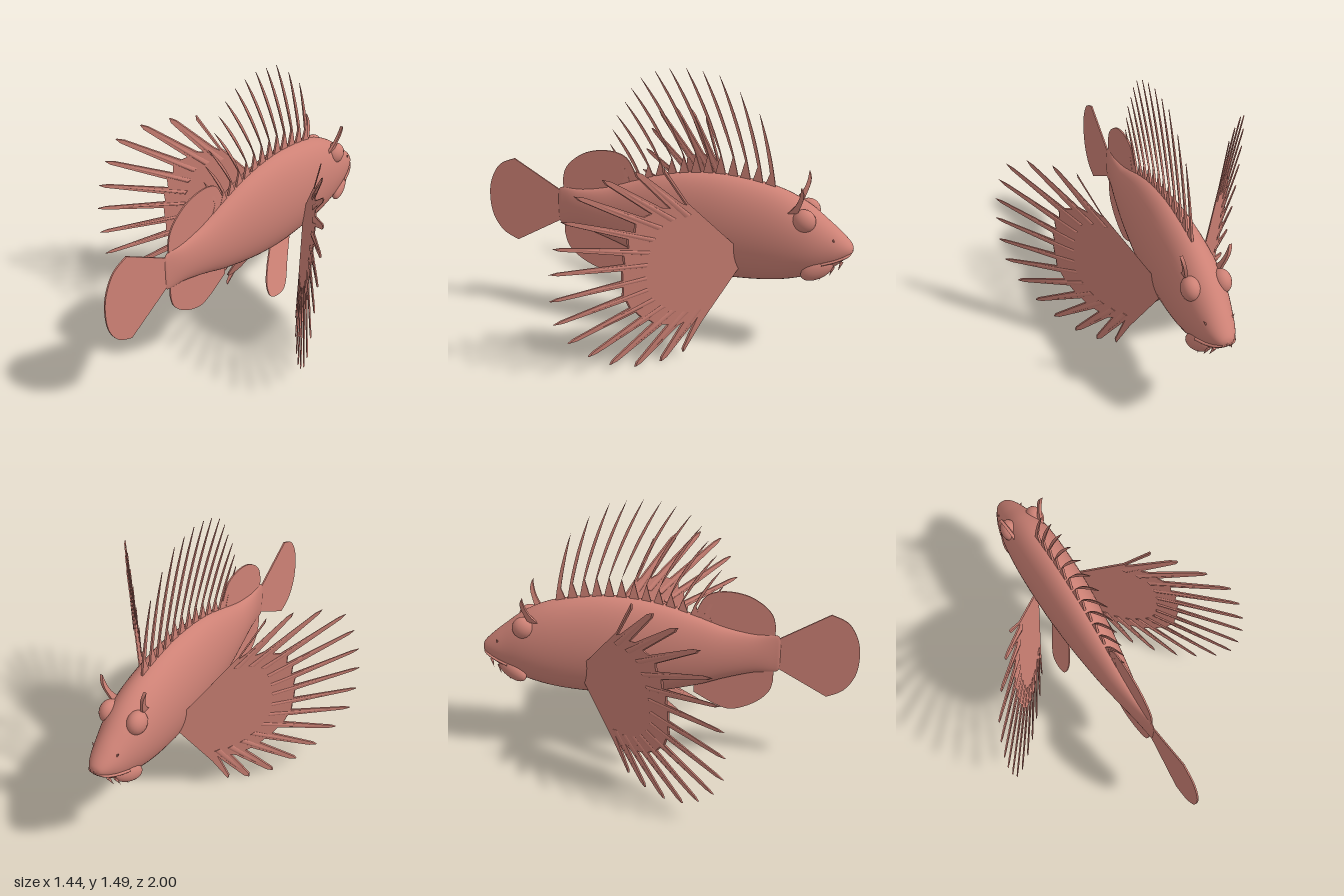
import * as THREE from 'three';

const V2 = (x, y) => new THREE.Vector2(x, y);
const V3 = (x, y, z) => new THREE.Vector3(x, y, z);

export function createModel() {
  const group = new THREE.Group();
  const skin = new THREE.MeshStandardMaterial({ color: 0xcd8175, side: THREE.DoubleSide });
  skin.name = 'salmon skin';

  const add = (name, geometry) => {
    const mesh = new THREE.Mesh(geometry, skin);
    mesh.name = name;
    group.add(mesh);
    return mesh;
  };
  // one copy on each side
  const addPair = (name, geometry) => {
    add(name + 'Left', geometry);
    add(name + 'Right', geometry).scale.x = -1;
  };
  // thin plate from a 2D outline, centred on its own plane
  const plate = (shape, depth) =>
    new THREE.ExtrudeGeometry(shape, { depth, bevelEnabled: false, curveSegments: 24 }).translate(0, 0, -depth / 2);
  // plate drawn in (z, y), standing in the plane x = 0
  const sidePlate = (shape, depth = 0.008) => plate(shape, depth).rotateY(-Math.PI / 2);
  // outline: straight from the first point, a smooth run, straight to the last
  const finShape = (first, run, last) => {
    const s = new THREE.Shape();
    s.moveTo(...first);
    s.lineTo(...run[0]);
    s.splineThru(run.slice(1).map((p) => V2(...p)));
    s.lineTo(...last);
    s.closePath();
    return s;
  };
  // move vertices by a rule
  const warp = (geo, rule) => {
    const p = geo.attributes.position, v = new THREE.Vector3();
    for (let i = 0; i < p.count; i++) {
      rule(v.fromBufferAttribute(p, i));
      p.setXYZ(i, v.x, v.y, v.z);
    }
    geo.computeVertexNormals();
    return geo;
  };

  // Body: elliptical sections; z, top, bottom, half width
  const stations = [
    [-0.997, 0.638, 0.636, 0.001], [-0.985, 0.665, 0.605, 0.035], [-0.945, 0.705, 0.565, 0.064],
    [-0.875, 0.765, 0.505, 0.09], [-0.75, 0.858, 0.452, 0.12], [-0.59, 0.925, 0.412, 0.134],
    [-0.36, 0.962, 0.394, 0.135], [-0.17, 0.957, 0.402, 0.125], [0, 0.925, 0.43, 0.109],
    [0.17, 0.868, 0.473, 0.087], [0.305, 0.818, 0.52, 0.065], [0.45, 0.788, 0.56, 0.037],
    [0.55, 0.788, 0.569, 0.016], [0.585, 0.775, 0.58, 0.009], [0.595, 0.72, 0.63, 0.001],
  ];
  const heights = new THREE.CatmullRomCurve3(stations.map((s) => V3(s[0], s[1], s[2])), false, 'catmullrom');
  const widths = new THREE.CatmullRomCurve3(stations.map((s) => V3(s[0], s[3], 0)), false, 'catmullrom');
  const rings = 84, sides = 48, pos = [], index = [];
  for (let i = 0; i <= rings; i++) {
    const h = heights.getPoint(i / rings), w = widths.getPoint(i / rings).y;
    for (let j = 0; j < sides; j++) {
      const a = (j / sides) * Math.PI * 2;
      pos.push(w * Math.cos(a), (h.y + h.z) / 2 + ((h.y - h.z) / 2) * Math.sin(a), h.x);
      if (i < rings) {
        const k = (j + 1) % sides, p = i * sides, q = p + sides;
        index.push(p + j, p + k, q + j, p + k, q + k, q + j);
      }
    }
  }
  const body = new THREE.BufferGeometry();
  body.setAttribute('position', new THREE.Float32BufferAttribute(pos, 3));
  body.setIndex(index);
  body.computeVertexNormals();
  add('body', body);

  // Tail, soft dorsal and anal fins
  add('tailFin', sidePlate(finShape([0.57, 0.76],
    [[0.84, 0.92], [0.93, 0.875], [0.985, 0.78], [1, 0.677], [0.985, 0.57], [0.93, 0.483], [0.845, 0.438]],
    [0.57, 0.6])));
  add('softDorsalFin', sidePlate(finShape([0.56, 0.77],
    [[0.562, 0.83], [0.545, 0.895], [0.5, 0.95], [0.425, 0.998], [0.335, 1.02], [0.25, 1.015], [0.19, 0.98], [0.14, 0.88]],
    [0.14, 0.8])));
  add('analFin', sidePlate(finShape([0.56, 0.59],
    [[0.562, 0.52], [0.545, 0.455], [0.5, 0.4], [0.425, 0.352], [0.335, 0.327], [0.25, 0.355], [0.14, 0.42]],
    [0.14, 0.55])));

  // Dorsal spines: tip z, tip y; each carries a low web behind it
  const tips = [[-0.49, 1.3], [-0.39, 1.4], [-0.285, 1.475], [-0.2, 1.49], [-0.115, 1.5], [-0.03, 1.49],
    [0.045, 1.47], [0.12, 1.43], [0.17, 1.37], [0.205, 1.295], [0.25, 1.22], [0.275, 1.14], [0.29, 1.06]];
  const topAt = (z) => {
    let i = 1;
    while (stations[i][0] < z) i++;
    const [a, b] = [stations[i - 1], stations[i]];
    return a[1] + ((b[1] - a[1]) * (z - a[0])) / (b[0] - a[0]);
  };
  tips.forEach(([tz, ty], i) => {
    const z = -0.59 + i * 0.064, y = topAt(z) - 0.02;
    const s = new THREE.Shape();
    s.moveTo(z, y);
    s.quadraticCurveTo(z + (tz - z) * 0.3, y + (ty - y) * 0.55, tz, ty);
    s.quadraticCurveTo(z + (tz - z) * 0.34 + 0.018, y + (ty - y) * 0.5, z + 0.034, y + (ty - y) * 0.22);
    s.lineTo(z + 0.062, topAt(z + 0.062) - 0.02);
    s.closePath();
    // thick at the root, thin at the tip
    add('dorsalSpine' + (i + 1), warp(sidePlate(s, 0.012), (v) => {
      v.x *= 1 - 0.7 * Math.max(0, (v.y - y) / (ty - y));
    }));
  });

  // Pectoral fans: ray tips in (x, y), webbed for the inner part
  const rays = [[0.405, 1.125], [0.493, 1.125], [0.588, 1.105], [0.667, 1.04], [0.7, 0.918], [0.718, 0.78],
    [0.722, 0.643], [0.714, 0.493], [0.694, 0.355], [0.643, 0.23], [0.572, 0.126], [0.497, 0.05],
    [0.41, 0.006], [0.323, 0.006], [0.248, 0.038]].map((p) => V2(...p));
  const hub = V2(0.12, 0.57);
  const fan = new THREE.Shape();
  fan.moveTo(0.1, 0.5);
  fan.lineTo(0.1, 0.63);
  fan.lineTo(0.134, 0.643);
  rays.forEach((tip, i) => {
    const dir = tip.clone().sub(hub).normalize(), side = V2(-dir.y, dir.x);
    const at = (f, off) => hub.clone().lerp(tip, f).addScaledVector(side, off);
    const web = 0.62;
    const outline = [at(web, 0.019), at(0.96, 0.009), tip, at(0.96, -0.009), at(web, -0.019)];
    if (i === 0) outline.splice(0, 2, V2(0.314, 0.92));
    if (i === rays.length - 1) outline.splice(3, 2, V2(0.2, 0.21));
    outline.forEach((p) => fan.lineTo(p.x, p.y));
  });
  fan.closePath();
  const sweep = (v) => { v.z += -0.41 + (v.x - 0.127) * 1.28 + (0.6 - v.y) * 0.13; };
  addPair('pectoralFin', warp(plate(fan, 0.01), sweep));

  // Raised ribs along the outer half of each fan ray
  rays.forEach((tip, i) => {
    if (i === 0 || i === rays.length - 1) return;
    const a = hub.clone().lerp(tip, 0.5), b = hub.clone().lerp(tip, 0.95);
    const rib = new THREE.CylinderGeometry(0.004, 0.013, a.distanceTo(b), 8);
    rib.rotateZ(Math.atan2(b.y - a.y, b.x - a.x) - Math.PI / 2);
    rib.translate((a.x + b.x) / 2, (a.y + b.y) / 2, 0);
    addPair('pectoralRib' + i, warp(rib, sweep));
  });

  // Pelvic fins, splayed outwards and down
  const pelvic = finShape([-0.38, 0.45],
    [[-0.34, 0.4], [-0.28, 0.32], [-0.22, 0.235], [-0.17, 0.2], [-0.1, 0.2], [-0.065, 0.225], [-0.075, 0.29], [-0.13, 0.37]],
    [-0.2, 0.45]);
  addPair('pelvicFin', warp(sidePlate(pelvic), (v) => { v.x += 0.055 + (0.43 - v.y) * 0.45; }));

  // Eyes with leaf-like tentacles above them
  addPair('eye', new THREE.SphereGeometry(0.06, 24, 16).scale(0.8, 1, 1).translate(0.078, 0.79, -0.75));
  const leaf = new THREE.Shape();
  leaf.moveTo(-0.765, 0.825);
  leaf.quadraticCurveTo(-0.7, 0.88, -0.695, 0.982);
  leaf.quadraticCurveTo(-0.675, 0.95, -0.685, 0.91);
  leaf.quadraticCurveTo(-0.69, 0.89, -0.71, 0.83);
  leaf.closePath();
  const leafGeo = sidePlate(leaf, 0.016).scale(1, 1, -1).translate(0, 0, -1.43);
  leafGeo.index || warp(leafGeo, (v) => { v.x += 0.085 + (v.y - 0.83) * 0.25; });
  addPair('eyeTentacle', leafGeo);

  // Cheek plate, lip line and small barbels around the mouth
  addPair('cheek', new THREE.SphereGeometry(1, 24, 16).scale(0.035, 0.05, 0.09)
    .rotateX(0.5).rotateY(0.3).translate(0.068, 0.53, -0.83));
  addPair('lip', new THREE.TubeGeometry(new THREE.CatmullRomCurve3([
    V3(0, 0.625, -0.99), V3(0.04, 0.612, -0.975), V3(0.072, 0.59, -0.92), V3(0.094, 0.57, -0.85),
  ]), 20, 0.007, 8));
  [[0.05, 0.57, -0.94], [0.06, 0.54, -0.9], [0.068, 0.51, -0.85]].forEach(([x, y, z], i) => {
    addPair('barbel' + (i + 1), new THREE.ConeGeometry(0.009, 0.05, 8)
      .rotateX(Math.PI - 0.3).rotateZ(0.4).translate(x, y - 0.015, z));
  });
  // Nostril flaps
  addPair('nostril', new THREE.ConeGeometry(0.008, 0.03, 8).rotateZ(-0.6).translate(0.07, 0.7, -0.9));

  return group;
}
